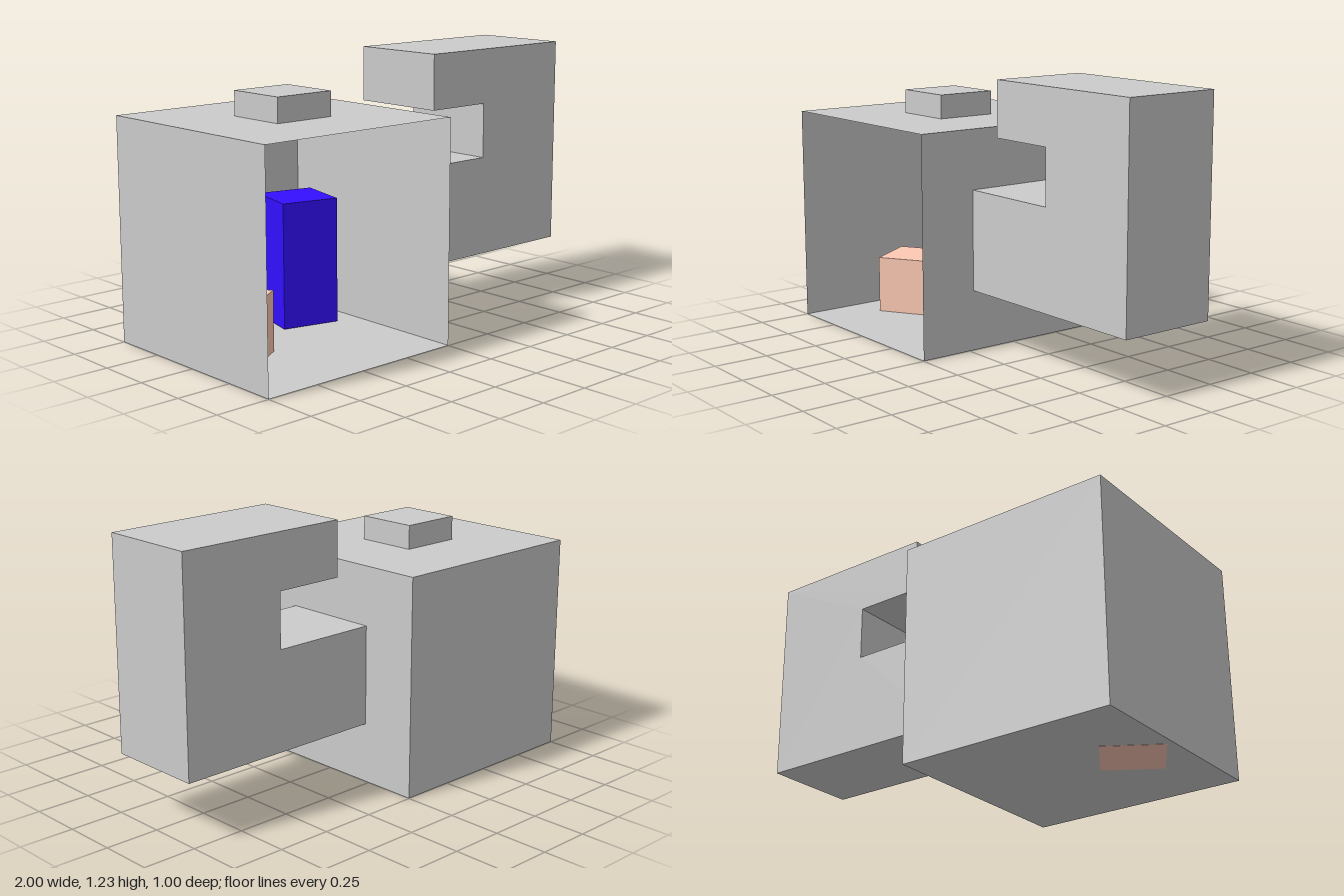
import * as THREE from 'three';

const mat = (color, side = THREE.FrontSide) =>
  new THREE.MeshStandardMaterial({ color, side, flatShading: true });

export function createModel() {
  const model = new THREE.Group();
  model.name = 'model';
  const grey = mat(0xcccccc);

  const add = (name, geometry, material, x, y, z, turn = 0) => {
    const mesh = new THREE.Mesh(geometry, material);
    mesh.name = name;
    mesh.position.set(x, y, z);
    mesh.rotation.y = THREE.MathUtils.degToRad(turn);
    model.add(mesh);
  };
  // Block standing on height y
  const block = (name, material, [w, h, d], x, y, z, turn) =>
    add(name, new THREE.BoxGeometry(w, h, d), material, x, y + h / 2, z, turn);

  // Thin-walled cube, open at the front (+z face left out of the index)
  const shell = new THREE.BoxGeometry(1, 1, 1);
  const index = Array.from(shell.index.array);
  index.splice(24, 6);
  shell.setIndex(index);
  shell.clearGroups();
  add('openBox', shell, mat(0xcccccc, THREE.DoubleSide), -0.5, 0.5, 0);

  // Small block on the lid
  block('topKnob', grey, [0.29, 0.11, 0.286], -0.5, 1, 0);

  // Hook-shaped arm on the side wall
  const outline = [
    [0, 0.275], [1, 0.275], [1, 1.23], [0.175, 1.23],
    [0.175, 0.98], [0.5, 0.98], [0.5, 0.73], [0, 0.73],
  ].map(([x, y]) => new THREE.Vector2(x, y));
  const depth = 0.456;
  const hook = new THREE.ExtrudeGeometry(new THREE.Shape(outline), { depth, bevelEnabled: false });
  add('sideHook', hook, grey, 0, 0, -depth / 2);

  // Two coloured blocks standing inside the box
  block('peachBlock', mat(0xfdcab4), [0.268, 0.271, 0.268], -0.787, -0.001, 0.004, 32);
  block('blueBlock', mat(0x330fff), [0.268, 0.575, 0.268], -0.217, 0.005, -0.25, -14);

  return model;
}
